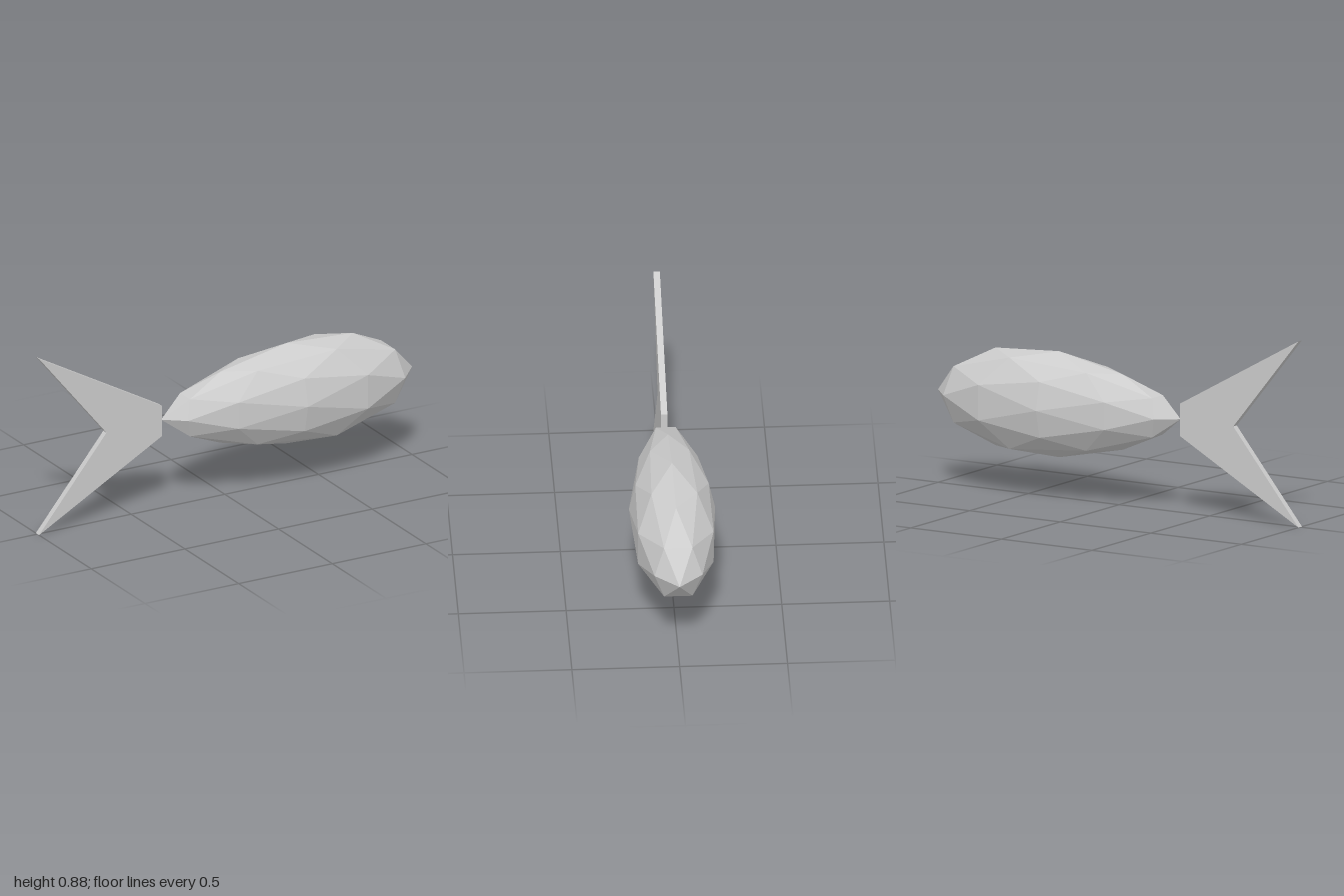
import * as THREE from 'three';

const MID_Y = 0.439;

export function createModel() {
  const group = new THREE.Group();
  const material = new THREE.MeshStandardMaterial({ color: 0xcccccc, flatShading: true });

  // Body: faceted ball stretched along x, full towards the nose, slim towards the tail
  const bodyGeometry = new THREE.IcosahedronGeometry(1, 1);
  const p = bodyGeometry.attributes.position;
  for (let i = 0; i < p.count; i++) {
    const x = p.getX(i);
    const girth = 1 + 0.265 * x - 0.15 * x * x - 0.1 * x * x * x;
    p.setXYZ(i, 0.33 + 0.67 * x, p.getY(i) * 0.25 * girth, p.getZ(i) * 0.2 * girth);
  }
  bodyGeometry.computeVertexNormals();
  const body = new THREE.Mesh(bodyGeometry, material);
  body.name = 'body';
  body.position.y = MID_Y;
  group.add(body);

  // Tail fin: thin forked plate
  const outline = [[-0.345, 0.076], [-1, MID_Y], [-0.64, 0], [-1, -MID_Y], [-0.345, -0.076]];
  const shape = new THREE.Shape(outline.map(([x, y]) => new THREE.Vector2(x, y)));
  const finGeometry = new THREE.ExtrudeGeometry(shape, { depth: 0.03, bevelEnabled: false });
  const tailFin = new THREE.Mesh(finGeometry, material);
  tailFin.name = 'tailFin';
  tailFin.position.set(0, MID_Y, -0.015);
  group.add(tailFin);

  return group;
}
